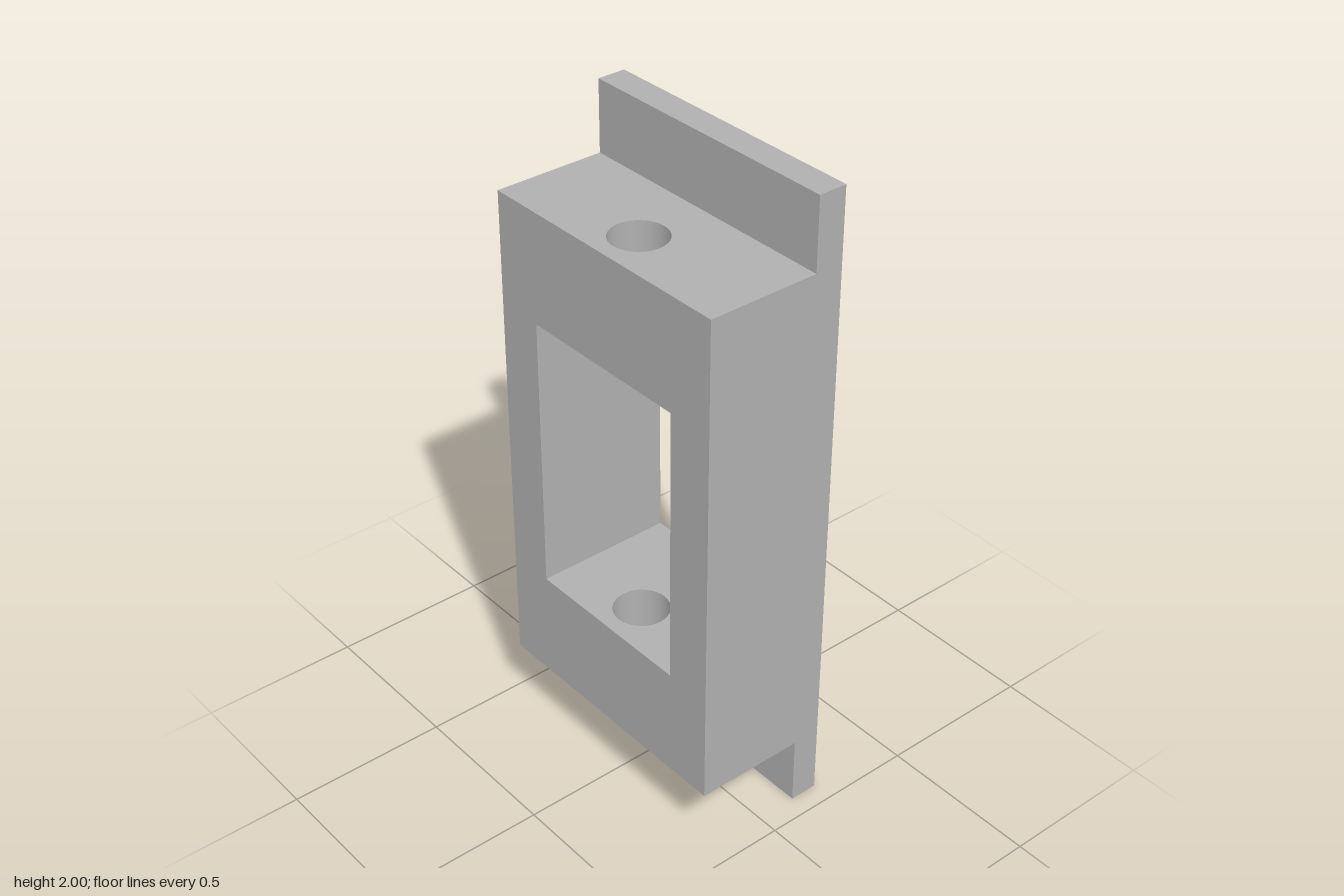
import * as THREE from 'three';

// Outer sizes, window opening and screw hole
const X0 = -0.217, XP = 0.129, X1 = 0.217;      // block back, plate back, plate front
const Z = 0.434, WZ = 0.283;                     // half widths: body, window
const Y0 = 0.22, Y1 = 1.78, W0 = 0.565, W1 = 1.435;
const HX = -0.087, HR = 0.084, SEG = 48;

const v = (x, y, z) => new THREE.Vector3(x, y, z);
// In-plane axes (u, v, normal) for each facing direction
const FACING = {
  right: [v(0, 0, -1), v(0, 1, 0), v(1, 0, 0)],
  left: [v(0, 0, 1), v(0, 1, 0), v(-1, 0, 0)],
  up: [v(1, 0, 0), v(0, 0, -1), v(0, 1, 0)],
  down: [v(1, 0, 0), v(0, 0, 1), v(0, -1, 0)],
  front: [v(1, 0, 0), v(0, 1, 0), v(0, 0, 1)],
  back: [v(-1, 0, 0), v(0, 1, 0), v(0, 0, -1)],
};

const poly = (pts) => new THREE.Shape(pts.map(([a, b]) => new THREE.Vector2(a, b)));
const rect = (a, b, c, d) => poly([[a, b], [c, b], [c, d], [a, d]]);

function withWindow(shape) {
  shape.holes.push(rect(-WZ, W0, WZ, W1));
  return shape;
}
function withBore(shape) {
  shape.holes.push(new THREE.Path().absarc(HX, 0, HR, 0, Math.PI * 2, true));
  return shape;
}

export function createModel() {
  const grey = new THREE.MeshStandardMaterial({ color: 0xb0b0b0, side: THREE.DoubleSide });
  grey.name = 'grey';
  const model = new THREE.Group();
  model.name = 'flangedHousing';

  // One flat face of the solid, at a given distance along its normal
  function face(name, facing, offset, shape) {
    const [u, w, n] = FACING[facing];
    const geo = new THREE.ShapeGeometry(shape, SEG);
    geo.translate(0, 0, offset);
    geo.applyMatrix4(new THREE.Matrix4().makeBasis(u, w, n));
    const mesh = new THREE.Mesh(geo, grey);
    mesh.name = name;
    model.add(mesh);
  }

  // Mounting plate and block faces pierced by the window
  face('plateFace', 'right', X1, withWindow(rect(-Z, 0, Z, 2)));
  face('blockFace', 'left', -X0, withWindow(rect(-Z, Y0, Z, Y1)));

  // Flange backs above and below the block
  face('upperFlangeBack', 'left', -XP, rect(-Z, Y1, Z, 2));
  face('lowerFlangeBack', 'left', -XP, rect(-Z, 0, Z, Y0));

  // Stepped side walls and inner window walls
  for (const [facing, s] of [['front', 1], ['back', -1]]) {
    face(facing + 'Side', facing, Z, poly([
      [s * X1, 0], [s * X1, 2], [s * XP, 2], [s * XP, Y1],
      [s * X0, Y1], [s * X0, Y0], [s * XP, Y0], [s * XP, 0],
    ]));
    face(facing + 'WindowWall', facing, -WZ, rect(s * X0, W0, s * X1, W1));
  }

  // Plate ends, block ends, window floor and ceiling
  face('plateTop', 'up', 2, rect(XP, -Z, X1, Z));
  face('plateBottom', 'down', 0, rect(XP, -Z, X1, Z));
  face('blockTop', 'up', Y1, withBore(rect(X0, -Z, XP, Z)));
  face('blockBottom', 'down', -Y0, withBore(rect(X0, -Z, XP, Z)));
  face('windowFloor', 'up', W0, withBore(rect(X0, -WZ, X1, WZ)));
  face('windowCeiling', 'down', -W1, withBore(rect(X0, -WZ, X1, WZ)));

  // Smooth bore walls through the block ends
  for (const [name, a, b] of [['lowerBore', Y0, W0], ['upperBore', W1, Y1]]) {
    const bore = new THREE.Mesh(new THREE.CylinderGeometry(HR, HR, b - a, SEG, 1, true), grey);
    bore.name = name;
    bore.position.set(HX, (a + b) / 2, 0);
    model.add(bore);
  }
  return model;
}
